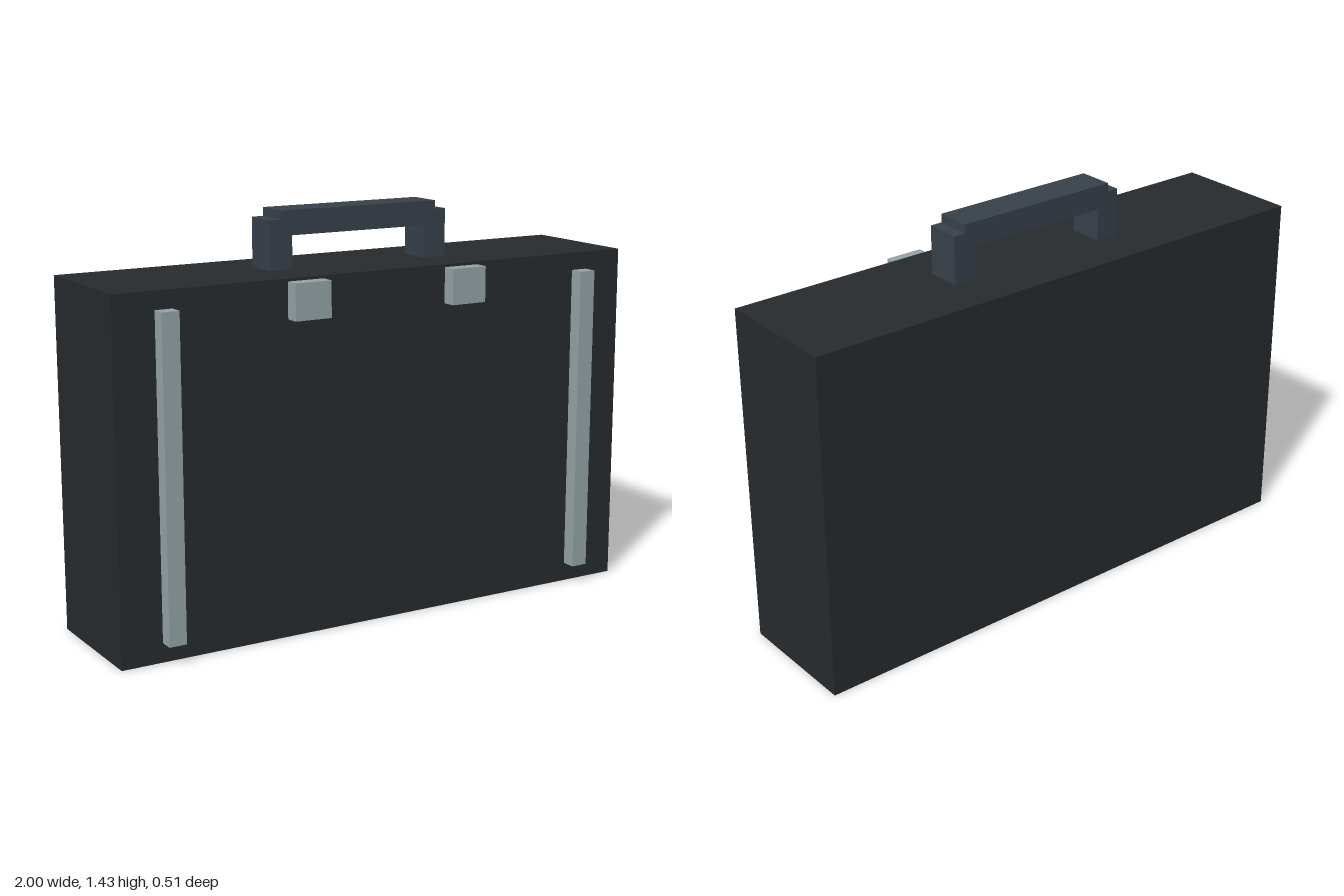
import * as THREE from 'three';

const material = (color) => new THREE.MeshStandardMaterial({ color });

// Box given by its extents along each axis
function box(name, [x0, x1], [y0, y1], [z0, z1], mat) {
  const mesh = new THREE.Mesh(new THREE.BoxGeometry(x1 - x0, y1 - y0, z1 - z0), mat);
  mesh.position.set((x0 + x1) / 2, (y0 + y1) / 2, (z0 + z1) / 2);
  mesh.name = name;
  return mesh;
}

export function createModel() {
  const model = new THREE.Group();
  model.name = 'briefcase';
  const leather = material(0x262b2e);
  const grip = material(0x38404a);
  const metal = material(0x95a3a6);

  // Case body
  const caseBack = -0.256, caseFront = 0.205, caseTop = 1.23;
  model.add(box('caseBody', [-1, 1], [0, caseTop], [caseBack, caseFront], leather));

  // Carrying handle: a bar set over two posts
  const handle = new THREE.Group();
  handle.name = 'handle';
  const handleDepth = [-0.088, 0.038];
  handle.add(box('handleBar', [-0.307, 0.307], [1.345, 1.43], handleDepth, grip));
  model.add(handle);

  // Mirrored pairs: handle posts, clasps and vertical trim strips
  const metalDepth = [caseFront, 0.256];
  for (const [side, s] of [['left', 1], ['right', -1]]) {
    const span = (inner, outer) => (s > 0 ? [inner, outer] : [-outer, -inner]);
    handle.add(box(`${side}HandlePost`, span(0.265, 0.35), [caseTop, 1.4], handleDepth, grip));
    model.add(box(`${side}Clasp`, span(0.24, 0.375), [1.095, 1.22], metalDepth, metal));
    model.add(box(`${side}TrimStrip`, span(0.79, 0.852), [0.067, 1.168], metalDepth, metal));
  }
  return model;
}
